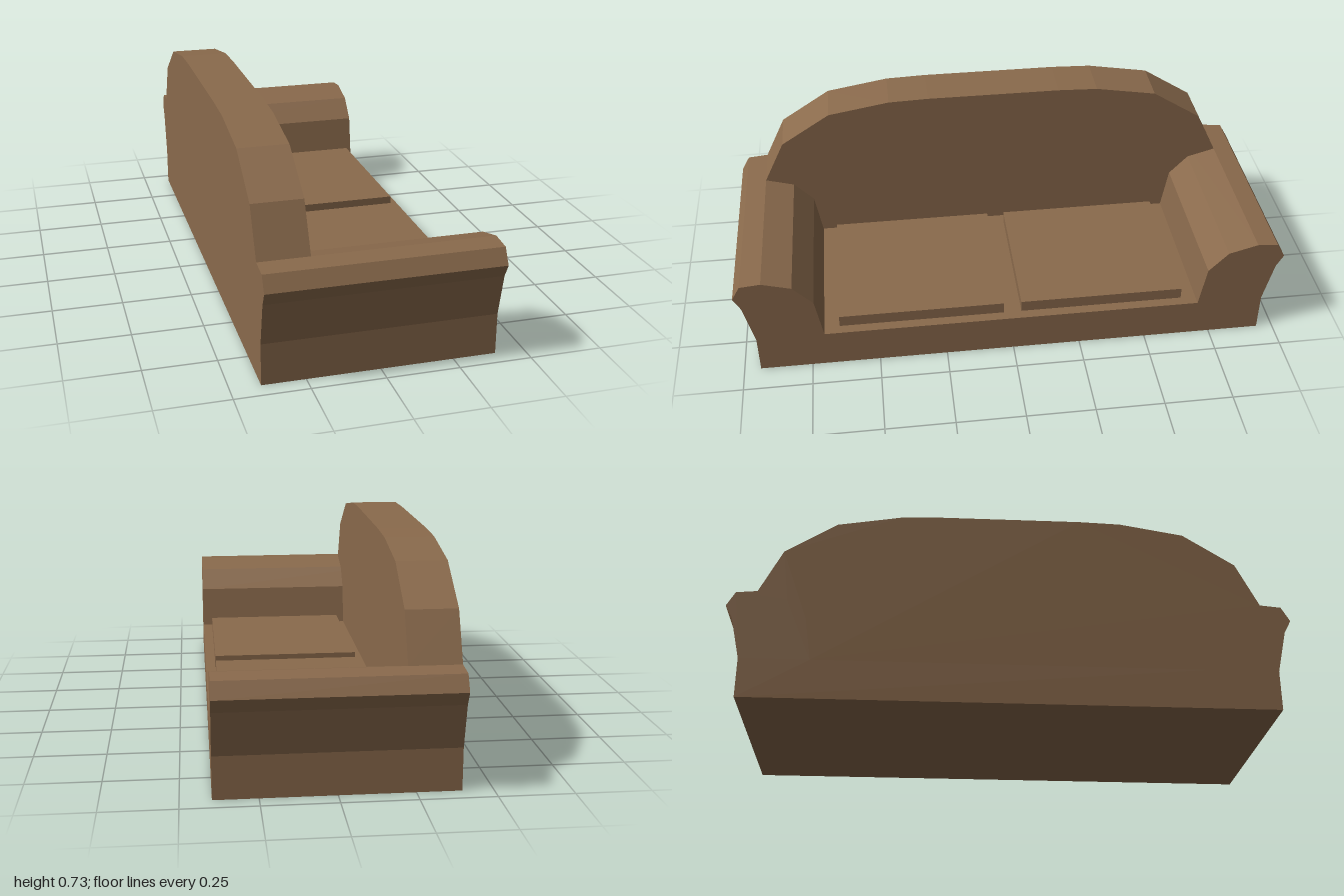
import * as THREE from 'three';

const fabric = new THREE.MeshStandardMaterial({ color: 0x8a6a4c });
fabric.name = 'brownFabric';

// Half outlines as [z, y], mirrored about z = 0
const armInner = [[0.695, 0.145], [0.72, 0.3], [0.79, 0.375], [0.895, 0.405]];
const armOuter = [[0.97, 0.398], [1, 0.345], [0.975, 0.298], [0.94, 0.145], [0.94, 0]];
const backTop = [[0.815, 0.567], [0.63, 0.686], [0.4, 0.725], [0.25, 0.73]];

// Mirror a half outline and extrude it along x from x0 to x1
function slab(name, half, x0, x1) {
  const mirrored = half.map(([z, y]) => [-z, y]).reverse();
  const points = [...half, ...mirrored].map(([z, y]) => new THREE.Vector2(z, y));
  const geometry = new THREE.ExtrudeGeometry(new THREE.Shape(points), {
    depth: x1 - x0,
    bevelEnabled: false,
  });
  geometry.rotateY(Math.PI / 2);
  geometry.translate(x0, 0, 0);
  const mesh = new THREE.Mesh(geometry, fabric);
  mesh.name = name;
  return mesh;
}

export function createModel() {
  const sofa = new THREE.Group();
  sofa.name = 'sofa';

  // Base and both flared arms share one section
  sofa.add(slab('baseAndArms', [...armInner, ...armOuter], -0.398, 0.398));

  // Arched backrest fitted between and over the arms
  sofa.add(slab('backrest', [...armInner, ...backTop], -0.398, -0.223));

  // Two thin seat cushions
  for (const side of [-1, 1]) {
    const cushion = new THREE.Mesh(new THREE.BoxGeometry(0.546, 0.044, 0.606), fabric);
    cushion.position.set(0.088, 0.167, side * 0.336);
    cushion.name = side > 0 ? 'rightCushion' : 'leftCushion';
    sofa.add(cushion);
  }
  return sofa;
}
